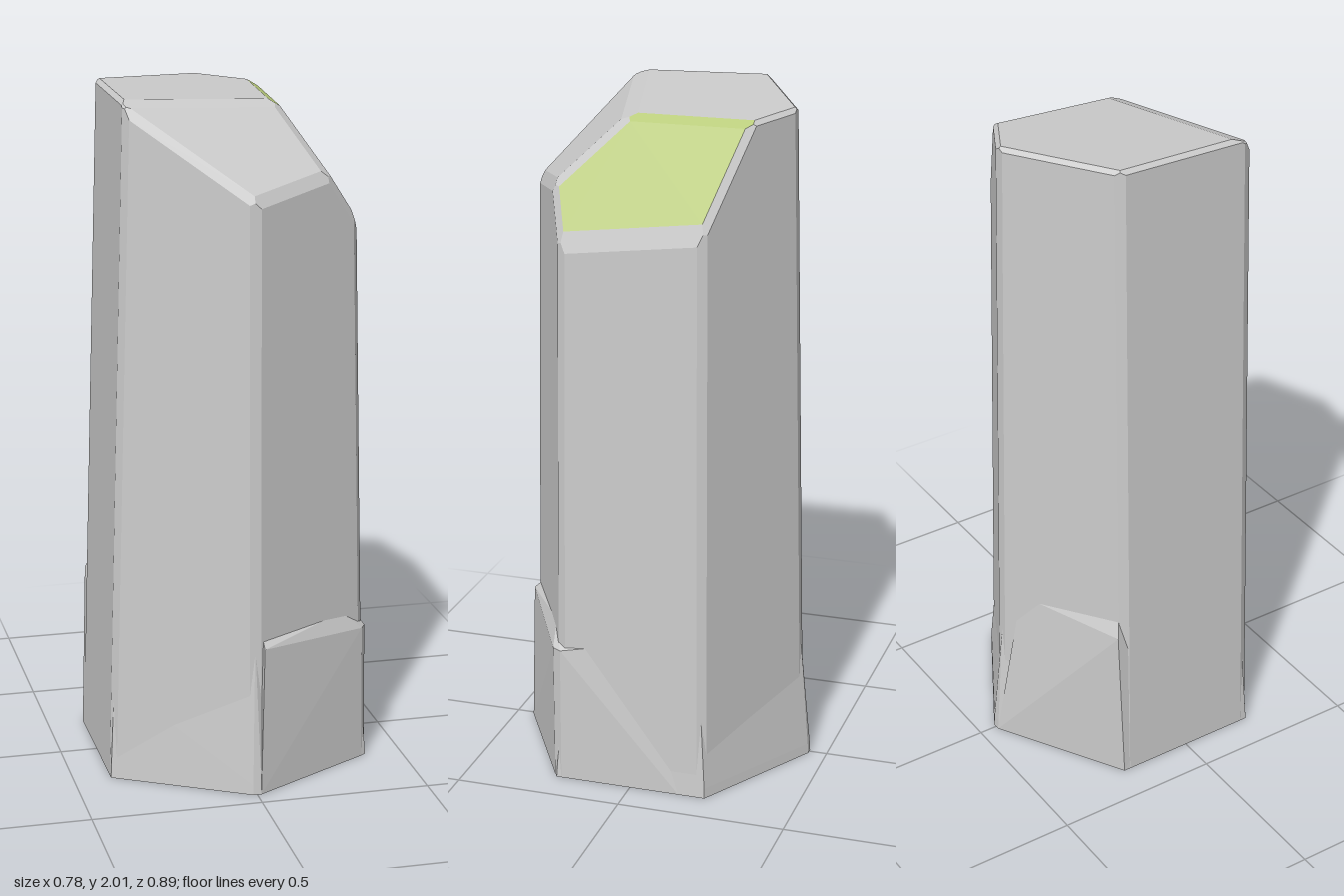
import * as THREE from 'three';
import { ConvexGeometry } from 'three/addons/geometries/ConvexGeometry.js';

const V = (x, y, z) => new THREE.Vector3(x, y, z);
const INSET = 0.009;

// Plane through three points, turned to face away from the column's middle
function outwardPlane(a, b, c) {
  const plane = new THREE.Plane().setFromCoplanarPoints(a, b, c);
  return plane.distanceToPoint(V(0, 1, 0)) > 0 ? plane.negate() : plane;
}

// Bevel plane cutting slightly inside the edge where two planes meet
function bevelPlane(p, q) {
  const dot = p.normal.dot(q.normal);
  const a = (-p.constant + q.constant * dot) / (1 - dot * dot);
  const b = (-q.constant + p.constant * dot) / (1 - dot * dot);
  const onEdge = p.normal.clone().multiplyScalar(a).addScaledVector(q.normal, b);
  const n = p.normal.clone().add(q.normal).normalize();
  return new THREE.Plane(n, INSET - n.dot(onEdge));
}

// Keep the part of a polygon behind a plane
function clip(poly, plane) {
  const out = [];
  poly.forEach((a, i) => {
    const b = poly[(i + 1) % poly.length];
    const da = plane.distanceToPoint(a), db = plane.distanceToPoint(b);
    if (da <= 0) out.push(a);
    if ((da < 0 && db > 0) || (da > 0 && db < 0)) out.push(a.clone().lerp(b, da / (da - db)));
  });
  return out;
}

// Face of a convex solid lying on one of its planes
function facePolygon(plane, planes) {
  const n = plane.normal;
  const u = V(0, 1, 0).cross(n);
  if (u.length() < 0.01) u.set(1, 0, 0);
  u.addScaledVector(n, -u.dot(n)).normalize();
  const v = n.clone().cross(u);
  const center = n.clone().multiplyScalar(-plane.constant);
  let poly = [[-5, -5], [5, -5], [5, 5], [-5, 5]].map(([s, t]) =>
    center.clone().addScaledVector(u, s).addScaledVector(v, t));
  for (const other of planes) if (other !== plane && poly.length) poly = clip(poly, other);
  return poly;
}

function solidFaces(faces, planes) {
  const points = [];
  for (const face of faces) {
    const poly = facePolygon(face, planes);
    for (let i = 1; i < poly.length - 1; i++) points.push(poly[0], poly[i], poly[i + 1]);
  }
  const geometry = new THREE.BufferGeometry().setFromPoints(points);
  geometry.computeVertexNormals();
  return geometry;
}

export function createModel() {
  const model = new THREE.Group();
  const stone = new THREE.MeshStandardMaterial({ color: 0xcccccc, flatShading: true });
  const moss = new THREE.MeshStandardMaterial({ color: 0xb9cb7c, flatShading: true });
  const add = (name, geometry, material = stone) => {
    const mesh = new THREE.Mesh(geometry, material);
    mesh.name = name;
    model.add(mesh);
  };

  // Six tapered sides
  const low = [[0, 0.43], [0.387, 0.222], [0.387, -0.222], [0, -0.43], [-0.39, -0.222], [-0.39, 0.222]];
  const high = [[0, 0.408], [0.34, 0.2], [0.34, -0.2], [0, -0.388], [-0.33, -0.195], [-0.33, 0.2]];
  const sides = low.map(([x, z], i) => {
    const j = (i + 1) % 6;
    return outwardPlane(V(x, 0, z), V(low[j][0], 0, low[j][1]),
      V((high[i][0] + high[j][0]) / 2, 2, (high[i][1] + high[j][1]) / 2));
  });

  // Slanted top and the two chipped facets
  const top = outwardPlane(V(-0.33, 1.997, 0.2), V(-0.33, 2.007, -0.19), V(0.15, 1.965, 0.08));
  const mossFacet = outwardPlane(V(0.175, 1.96, -0.27), V(0.145, 1.96, 0.09), V(0.345, 1.645, 0.19));
  const chip = outwardPlane(V(-0.32, 1.99, 0.2), V(0.14, 1.96, 0.085), V(0, 1.73, 0.405));
  const bottom = new THREE.Plane(V(0, -1, 0), 0);

  // Bevels along every edge
  const main = [...sides, top, mossFacet, chip];
  const bevels = [];
  let mossBevel;
  main.forEach((p, i) => main.slice(i + 1).forEach((q) => {
    if (p.normal.dot(q.normal) < -0.2) return;
    const bevel = bevelPlane(p, q);
    if (p === top && q === mossFacet) mossBevel = bevel;
    else bevels.push(bevel);
  }));
  const planes = [...main, bottom, ...bevels, mossBevel];
  add('column', solidFaces([...sides, top, chip, bottom, ...bevels], planes));
  add('mossyFacet', solidFaces([mossFacet, mossBevel], planes), moss);

  // Flared foot, rising up the front and back edges
  const foot = [[0.012, 0.445], [0.39, 0.23], [0.39, -0.23], [0.012, -0.445],
    [-0.012, -0.445], [-0.39, -0.225], [-0.39, 0.225], [-0.012, 0.445]];
  add('flaredFoot', new ConvexGeometry([
    ...foot.map(([x, z]) => V(x, 0, z)),
    ...foot.map(([x, z]) => V(x * 0.995, 0.03, z * 0.995)),
    V(0, 0.46, 0.41), V(0, 0.37, -0.412), V(0.37, 0.3, -0.21),
    V(-0.374, 0.3, -0.21), V(-0.374, 0.3, 0.21), V(0.37, 0.3, 0.21),
  ]));

  // Raised slab on the front with a pointed sliver round the corner
  add('frontSlab', new ConvexGeometry([
    V(0.012, 0, 0.445), V(0.375, 0, 0.24), V(0.39, 0, 0.215), V(0.39, 0, -0.15),
    V(0.025, 0.44, 0.428), V(0.025, 0.465, 0.4), V(0.37, 0.41, 0.242), V(0.386, 0.41, 0.215),
    V(0.3, 0.47, 0.255), V(0.36, 0.45, 0.0), V(0, 0, 0), V(0, 0.4, 0),
  ]));

  // Raised slab on the back
  add('backSlab', new ConvexGeometry([
    V(-0.012, 0, -0.445), V(-0.39, 0, -0.225), V(-0.38, 0, 0.1),
    V(-0.374, 0.5, -0.238), V(-0.352, 0.56, -0.222), V(-0.06, 0.52, -0.38),
    V(0, 0, 0), V(0, 0.4, 0),
  ]));
  return model;
}
